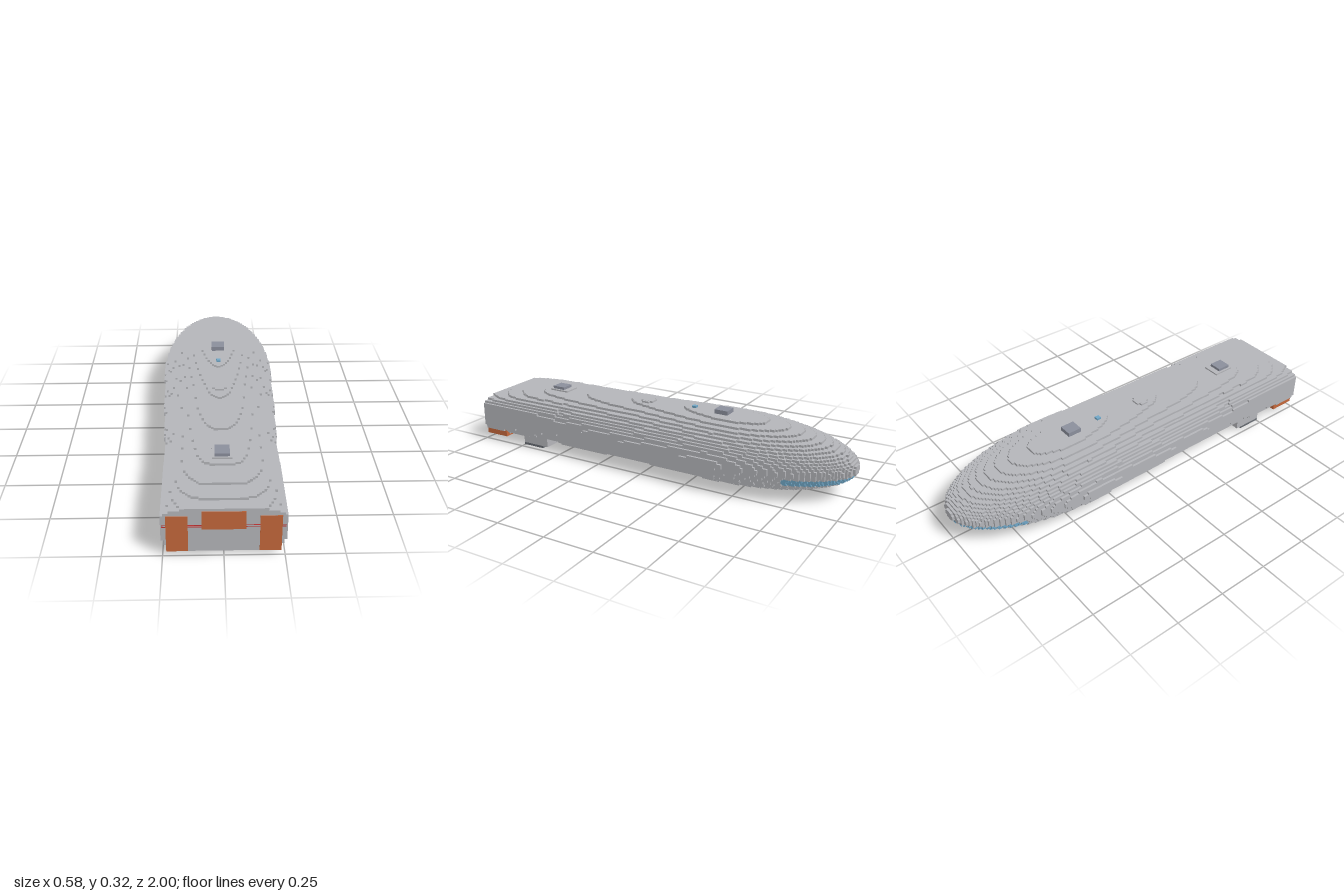
import * as THREE from 'three';

const U = 2 / 180; // block size
const NX = 52, NY = 30, NZ = 180;

const mat = (name, color, side = THREE.FrontSide) => {
  const m = new THREE.MeshStandardMaterial({ color, side });
  m.name = name;
  return m;
};

// Piecewise-linear curve through [z, value] points
function curve(pts, z) {
  if (z <= pts[0][0]) return pts[0][1];
  for (let i = 1; i < pts.length; i++) {
    const [a, va] = pts[i - 1], [b, vb] = pts[i];
    if (z <= b) return va + (vb - va) * (z - a) / (b - a);
  }
  return pts[pts.length - 1][1];
}

// Hull guide curves, from the bow (-z) to the stern (+z)
const MID = 0.145;
const WIDTH = [[-0.35, 0.287], [0.05, 0.275], [0.3, 0.264], [0.5, 0.252], [0.56, 0.258], [1, 0.257]];
const TOP = [[-0.35, 0.303], [0.18, 0.284], [0.44, 0.2735], [0.72, 0.262], [0.85, 0.251], [1, 0.232]];
const BOTTOM = [[-0.35, -0.008], [0.52, 0.003], [0.54, 0.018], [1, 0.02]];
const POWER = [[0.1, 2], [0.6, 2.7], [1, 4]];

function insideHull(x, y, z) {
  // the bow closes as an ellipsoid
  const t = Math.min(0, z + 0.35) / 0.65;
  const s = Math.sqrt(Math.max(1e-6, 1 - t * t));
  const n = curve(POWER, z);
  const h = y > MID ? curve(TOP, z) - MID : MID - curve(BOTTOM, z);
  const u = Math.abs(x) / (curve(WIDTH, z) * s);
  const v = Math.abs(y - MID) / (h * s);
  return Math.pow(u, n) + Math.pow(v, n) <= 1;
}

// Blocky hull skin; faces are merged into strips, with a second material for the bow band
function hullGeometry() {
  const dims = [NX, NY, NZ];
  const place = (i, j, k) => [(i - NX / 2) * U, j * U, k * U - 1];
  const cells = new Uint8Array(NX * NY * NZ);
  const at = (c) => c.some((v, a) => v < 0 || v >= dims[a]) ? 0 : cells[(c[0] * NY + c[1]) * NZ + c[2]];
  for (let i = 0; i < NX; i++) for (let j = 0; j < NY; j++) for (let k = 0; k < NZ; k++) {
    const [x, y, z] = place(i + 0.5, j + 0.5, k + 0.5);
    if (!insideHull(x, y, z)) continue;
    const band = z < -0.72 && z > -0.985 && y > 0.09 && y < 0.122;
    cells[(i * NY + j) * NZ + k] = band ? 2 : 1;
  }
  const lists = [[], []];
  for (let d = 0; d < 3; d++) {
    const run = d === 2 ? 0 : 2;       // axis along which strips grow
    const other = 3 - d - run;
    for (const sign of [-1, 1]) for (let p = 0; p < dims[d]; p++) for (let q = 0; q < dims[other]; q++) {
      let start = 0, kind = 0;
      for (let r = 0; r <= dims[run]; r++) {
        const c = [0, 0, 0];
        c[d] = p; c[other] = q; c[run] = r;
        const n = c.slice();
        n[d] += sign;
        const now = at(c) && !at(n) ? at(c) : 0;
        if (now === kind) continue;
        if (kind) {
          // corners counter-clockwise as seen from outside
          const a1 = (d + 1) % 3, a2 = (d + 2) % 3;
          const lo = [0, 0, 0], hi = [0, 0, 0];
          lo[d] = hi[d] = p + (sign > 0 ? 1 : 0);
          lo[other] = q; hi[other] = q + 1;
          lo[run] = start; hi[run] = r;
          const b = lo.slice(), e = lo.slice();
          b[a1] = hi[a1];
          e[a2] = hi[a2];
          const quad = sign > 0 ? [lo, b, hi, lo, hi, e] : [lo, hi, b, lo, e, hi];
          for (const v of quad) lists[kind - 1].push(...place(...v));
        }
        kind = now;
        start = r;
      }
    }
  }
  const g = new THREE.BufferGeometry();
  g.setAttribute('position', new THREE.Float32BufferAttribute(lists[0].concat(lists[1]), 3));
  g.addGroup(0, lists[0].length / 3, 0);
  g.addGroup(lists[0].length / 3, lists[1].length / 3, 1);
  g.computeVertexNormals();
  return g;
}

export function createModel() {
  const group = new THREE.Group();
  const grey = mat('hullGrey', 0xb4b5b9);
  const blue = mat('lightBlue', 0x70a6c6);
  const steel = mat('turretSteel', 0x8b8f9c);
  const orange = mat('engineOrange', 0xc4673b);
  const red = mat('markingRed', 0xc23232);
  const dark = mat('gearDark', 0x686d74);

  // Box given by its two extreme corners
  const box = (name, material, x0, x1, y0, y1, z0, z1) => {
    const m = new THREE.Mesh(new THREE.BoxGeometry(x1 - x0, y1 - y0, z1 - z0), material);
    m.position.set((x0 + x1) / 2, (y0 + y1) / 2, (z0 + z1) / 2);
    m.name = name;
    group.add(m);
  };

  const hull = new THREE.Mesh(hullGeometry(), [grey, blue]);
  hull.name = 'hull';
  hull.position.y = 0.002;
  group.add(hull);

  // Dorsal fittings
  box('frontTurret', steel, -0.033, 0.033, 0.28, 0.323, -0.36, -0.29);
  box('rearTurret', steel, -0.033, 0.033, 0.25, 0.29, 0.62, 0.69);
  box('rearTurretBase', grey, -0.044, 0.044, 0.25, 0.276, 0.59, 0.7);
  box('beacon', blue, -0.011, 0.011, 0.28, 0.312, -0.177, -0.155);
  box('dorsalBump', grey, -0.022, 0.022, 0.27, 0.3, 0.067, 0.133);
  box('dorsalBumpSides', grey, -0.036, 0.036, 0.27, 0.2995, 0.08, 0.12);

  // Engines in the stern
  box('centreEngine', orange, -0.089, 0.089, 0.135, 0.222, 0.87, 1.003);
  for (const s of [-1, 1]) {
    const [a, b] = s > 0 ? [0.145, 0.234] : [-0.234, -0.145];
    box('sideEngine', orange, a, b, 0.0255, 0.2, 0.87, 1.003);
  }
  // Red stern lines
  for (const y of [0.147, 0.155]) box('sternLine', red, -0.25, 0.25, y - 0.0015, y + 0.0015, 0.996, 1.0015);

  // Landing gear
  for (const s of [-1, 1]) {
    const [a, b] = s > 0 ? [0.135, 0.222] : [-0.222, -0.135];
    box('rearGear', dark, a, b, 0, 0.012, 0.63, 0.755);
    box('rearGearMount', grey, a, b, 0.012, 0.06, 0.6, 0.755);
  }
  box('frontGear', dark, -0.04, 0.04, 0, 0.02, -0.42, -0.3);

  return group;
}
